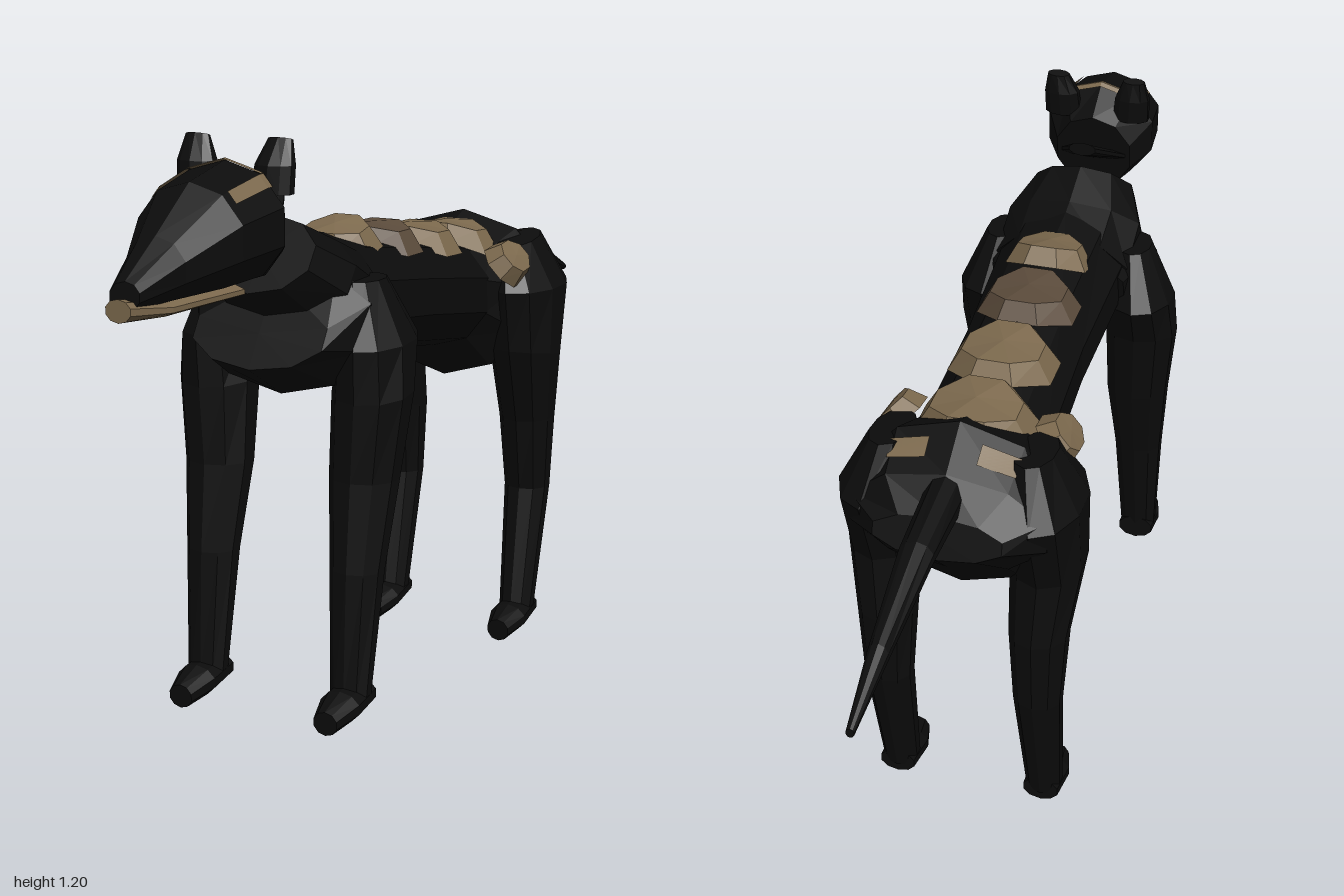
import * as THREE from 'three';

const material = (name, color) => Object.assign(new THREE.MeshStandardMaterial({ color }), { name });
const black = material('black coat', 0x0c0c0c);
const tan = material('tan', 0x7d6a4e);
const brown = material('dull brown', 0x5c4c3c);
tan.side = THREE.DoubleSide;

const SIDES = 10;

// A section is [x, z1, y1, z2, y2, halfWidth]: an oval between two edge points.
function ringPoint(s, t, scale = 1) {
  const corner = (k) => {
    const a = (k / SIDES) * Math.PI * 2;
    const c = Math.cos(a) * scale / 2;
    return new THREE.Vector3(
      s[0] + Math.sin(a) * s[5] * scale,
      (s[2] + s[4]) / 2 + c * (s[2] - s[4]),
      (s[1] + s[3]) / 2 + c * (s[1] - s[3]));
  };
  const k = Math.floor(t);
  return corner(k).lerp(corner(k + 1), t - k);
}

function facetMesh(name, triangles, mat) {
  const geometry = new THREE.BufferGeometry().setFromPoints(triangles.flat());
  geometry.computeVertexNormals();
  const mesh = new THREE.Mesh(geometry, mat);
  mesh.name = name;
  return mesh;
}

// Faceted closed body through a row of sections
function loft(name, sections, mat = black) {
  const rings = sections.map((s) => Array.from({ length: SIDES }, (_, k) => ringPoint(s, k)));
  const middle = (r) => r.reduce((m, p) => m.add(p), new THREE.Vector3()).divideScalar(SIDES);
  const first = rings[0], last = rings[rings.length - 1];
  const m0 = middle(first), m1 = middle(last);
  let triangles = [];
  for (let k = 0; k < SIDES; k++) {
    const n = (k + 1) % SIDES;
    for (let i = 0; i + 1 < rings.length; i++) {
      const a = rings[i], b = rings[i + 1];
      triangles.push([a[k], a[n], b[k]], [a[n], b[n], b[k]]);
    }
    triangles.push([m0, first[n], first[k]], [m1, last[k], last[n]]);
  }
  // Turn the faces outward
  const volume = triangles.reduce((v, [a, b, c]) => v + a.dot(b.clone().cross(c)), 0);
  if (volume < 0) triangles = triangles.map(([a, b, c]) => [a, c, b]);
  return facetMesh(name, triangles, mat);
}

// Thin marking that hugs part of a loft
function patch(name, sections, u0, u1, t0, t1, side = 1) {
  const N = 6;
  const at = (i, j) => {
    const u = u0 + (u1 - u0) * i / N, k = Math.min(Math.floor(u), sections.length - 2);
    const s = sections[k].map((v, q) => v + (sections[k + 1][q] - v) * (u - k));
    const p = ringPoint(s, t0 + (t1 - t0) * j / N, 1.04);
    p.x *= side;
    return p;
  };
  const triangles = [];
  for (let i = 0; i < N; i++) for (let j = 0; j < N; j++) {
    const a = at(i, j), b = at(i + 1, j), c = at(i, j + 1), d = at(i + 1, j + 1);
    triangles.push(side > 0 ? [a, b, c] : [a, c, b], side > 0 ? [b, d, c] : [b, c, d]);
  }
  return facetMesh(name, triangles, tan);
}

// Bevelled eight-sided scale, bent down at its sides
function scale(name, [x, y, z], halfWidth, halfLength, tiltX, tiltZ, mat) {
  let g = new THREE.CylinderGeometry(0.8, 1.08, 0.035, 8, 1);
  g.rotateY(Math.PI / 8);
  g.scale(halfWidth, 1, halfLength);
  g = g.toNonIndexed();
  const p = g.attributes.position;
  for (let i = 0; i < p.count; i++) p.setY(i, p.getY(i) - 2.5 * p.getX(i) ** 2);
  g.computeVertexNormals();
  const mesh = new THREE.Mesh(g, mat);
  mesh.name = name;
  mesh.position.set(x, y, z);
  mesh.rotation.set(tiltX, 0, tiltZ);
  return mesh;
}

const HEAD = [
  [0, 0.575, 1.11, 0.605, 0.935, 0.085], [0, 0.65, 1.158, 0.65, 0.94, 0.122],
  [0, 0.77, 1.135, 0.77, 0.94, 0.108], [0, 0.88, 1.06, 0.88, 0.945, 0.06],
  [0, 0.975, 1.0, 0.98, 0.95, 0.03]];
const CHEST = [
  [0, 0.50, 0.89, 0.58, 0.77, 0.14], [0, 0.44, 0.98, 0.46, 0.70, 0.19],
  [0, 0.28, 0.95, 0.33, 0.74, 0.15]];
const PELVIS = [
  [0, -0.20, 0.89, -0.22, 0.66, 0.13], [0, -0.30, 0.90, -0.28, 0.58, 0.18],
  [0, -0.38, 0.93, -0.39, 0.57, 0.21], [0, -0.47, 0.87, -0.47, 0.66, 0.20],
  [0, -0.52, 0.81, -0.545, 0.73, 0.13]];

export function createModel() {
  const model = new THREE.Group();
  model.name = 'armouredHound';
  const add = (...parts) => model.add(...parts);

  // Trunk, neck and tail
  add(
    loft('torso', [
      [0, 0.36, 0.99, 0.33, 0.74, 0.14], [0, 0.05, 0.94, 0.04, 0.70, 0.128],
      [0, -0.26, 0.89, -0.26, 0.65, 0.135]]),
    loft('neck', [
      [0, 0.48, 1.04, 0.58, 0.91, 0.11], [0, 0.39, 1.0, 0.51, 0.85, 0.15],
      [0, 0.30, 0.97, 0.38, 0.75, 0.15]]),
    loft('chest', CHEST),
    loft('pelvis', PELVIS),
    loft('napeFlap', [[0, 0.59, 1.035, 0.59, 1.01, 0.075], [0, 0.49, 1.09, 0.49, 1.06, 0.03]]),
    loft('tail', [
      [0, -0.455, 0.87, -0.46, 0.79, 0.04], [0, -0.64, 0.84, -0.65, 0.785, 0.034],
      [0, -0.85, 0.775, -0.86, 0.73, 0.02], [0, -0.998, 0.71, -1.0, 0.693, 0.008]]));

  // Head, jaw and brow band
  add(
    loft('head', HEAD),
    loft('jaw', [
      [0, 0.998, 0.975, 0.998, 0.935, 0.025], [0, 0.9, 0.958, 0.9, 0.928, 0.046],
      [0, 0.68, 0.95, 0.68, 0.922, 0.055]], tan),
    patch('browBand', HEAD, 0.86, 1.06, -1, 1));

  for (const side of [1, -1]) {
    const label = side > 0 ? 'left' : 'right';
    const limb = (name, sections) =>
      add(loft(label + name, sections.map(([x, ...rest]) => [x * side, ...rest])));

    limb('Ear', [
      [0.075, 0.645, 1.10, 0.59, 1.10, 0.04], [0.078, 0.64, 1.15, 0.585, 1.15, 0.038],
      [0.083, 0.61, 1.197, 0.59, 1.19, 0.024]]);
    limb('FrontLeg', [
      [0.145, 0.45, 0.92, 0.34, 0.92, 0.035], [0.165, 0.49, 0.80, 0.28, 0.81, 0.068],
      [0.163, 0.485, 0.70, 0.325, 0.72, 0.077], [0.155, 0.485, 0.55, 0.365, 0.55, 0.068],
      [0.155, 0.503, 0.38, 0.41, 0.38, 0.053], [0.155, 0.517, 0.14, 0.46, 0.12, 0.04]]);
    limb('FrontFoot', [
      [0.155, 0.455, 0.165, 0.455, 0.11, 0.04], [0.155, 0.53, 0.16, 0.53, 0.10, 0.042],
      [0.155, 0.592, 0.142, 0.59, 0.095, 0.025]]);
    limb('HindLeg', [
      [0.14, -0.28, 0.87, -0.44, 0.89, 0.04], [0.163, -0.23, 0.78, -0.50, 0.78, 0.075],
      [0.163, -0.255, 0.65, -0.44, 0.62, 0.074], [0.155, -0.32, 0.48, -0.45, 0.48, 0.06],
      [0.155, -0.345, 0.32, -0.44, 0.32, 0.05], [0.155, -0.305, 0.06, -0.375, 0.04, 0.038]]);
    limb('HindFoot', [
      [0.155, -0.372, 0.075, -0.37, 0.02, 0.038], [0.155, -0.29, 0.066, -0.29, 0.007, 0.042],
      [0.155, -0.23, 0.05, -0.235, 0.0, 0.025]]);

    // Tan markings
    add(
      patch(label + 'BrowStripe', HEAD, 0.95, 1.9, 1.0, 1.4, side),
      patch(label + 'ChestStreak', CHEST, 0.35, 0.45, 1.0, 1.5, side),
      patch(label + 'RumpSpot', PELVIS, 2.3, 2.7, 0.4, 1.0, side),
      scale(label + 'HipScale', [0.165 * side, 0.85, -0.255], 0.05, 0.06, 0.1, -0.85 * side, tan));
  }

  // Row of scales along the back
  add(
    scale('shoulderScale', [0, 0.972, 0.235], 0.085, 0.073, 0.2, 0, tan),
    scale('upperBackScale', [0, 0.952, 0.08], 0.1, 0.09, -0.03, 0, brown),
    scale('lowerBackScale', [0, 0.925, -0.10], 0.105, 0.095, -0.06, 0, tan),
    scale('rumpScale', [0, 0.905, -0.28], 0.115, 0.092, -0.08, 0, tan));

  return model;
}
